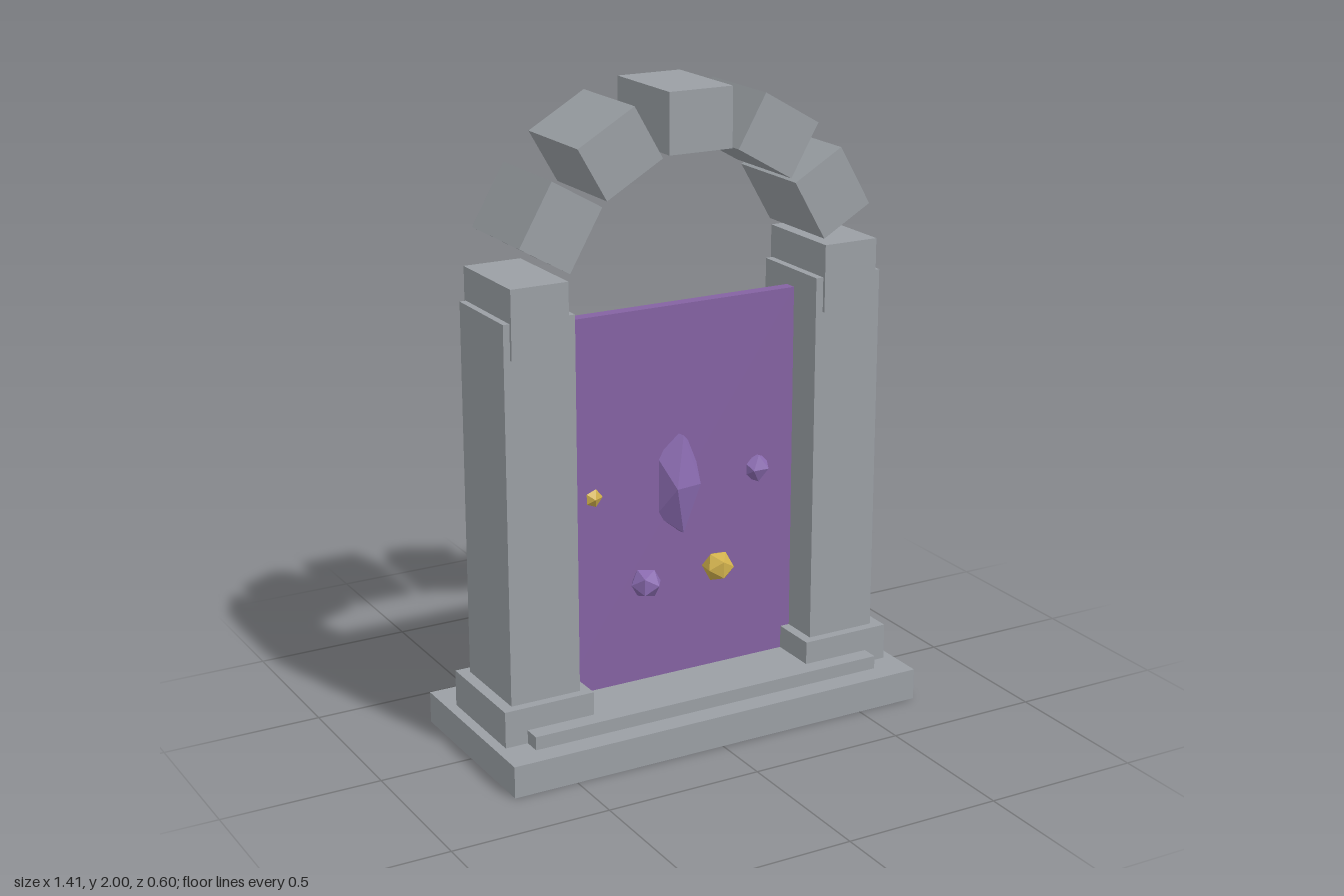
import * as THREE from 'three';

export function createModel() {
  const model = new THREE.Group();
  model.name = 'stonePortal';

  const mat = (name, color) => {
    const m = new THREE.MeshStandardMaterial({ color, flatShading: true });
    m.name = name;
    return m;
  };
  const stone = mat('stone', 0x9a9fa4);
  const veil = mat('portalPurple', 0x8462a2);
  const violet = mat('crystalViolet', 0x8a6bb0);
  const gold = mat('gold', 0xd0b04c);

  const add = (name, geometry, material, x, y, z) => {
    const mesh = new THREE.Mesh(geometry, material);
    mesh.name = name;
    mesh.position.set(x, y, z);
    model.add(mesh);
    return mesh;
  };
  // Box given by its centre x, its bottom and top heights, width and depth
  const slab = (name, x, y0, y1, w, d, material = stone) =>
    add(name, new THREE.BoxGeometry(w, y1 - y0, d), material, x, (y0 + y1) / 2, 0);

  // Plinth and step
  slab('plinth', 0, 0, 0.1, 1.41, 0.6);
  slab('step', 0, 0.1, 0.142, 1.2, 0.46);

  // Pillars with their footings
  for (const [side, s] of [['left', 1], ['right', -1]]) {
    slab(side + 'Footing', s * 0.525, 0.1, 0.215, 0.295, 0.35);
    slab(side + 'Pillar', s * 0.523, 0.2, 1.387, 0.228, 0.29);
  }

  // Arch of seven separate blocks, 30 degrees apart
  for (let i = -3; i <= 3; i++) {
    const a = (i * Math.PI) / 6;
    const block = add('archBlock' + (i + 4), new THREE.BoxGeometry(0.21, 0.183, 0.31), stone,
      0.525 * Math.sin(a), 1.384 + 0.525 * Math.cos(a), 0);
    block.rotation.z = -a;
  }

  // Portal sheet between the pillars
  slab('portalSheet', 0, 0.14, 1.332, 0.82, 0.04, veil);

  // Long crystal through the middle of the sheet
  const crystal = add('centreCrystal', new THREE.IcosahedronGeometry(0.085), violet, 0, 0.768, 0);
  crystal.scale.y = 2.18;
  crystal.rotation.y = Math.PI / 2 + 0.15;

  // Small gems around it, on both faces of the sheet
  const gems = [
    [0.282, 0.768, 0.005, violet], [-0.29, 0.768, -0.012, gold],
    [-0.13, 0.475, 0.052, violet], [0.12, 0.485, 0.06, gold],
    [-0.163, 1.135, -0.055, violet], [0.163, 1.135, -0.055, gold],
  ];
  gems.forEach(([x, y, z, material], i) => {
    const gem = add('gem' + (i + 1), new THREE.IcosahedronGeometry(0.05), material, x, y, z);
    gem.rotation.y = Math.PI / 2 + i * 0.5;
  });

  return model;
}
